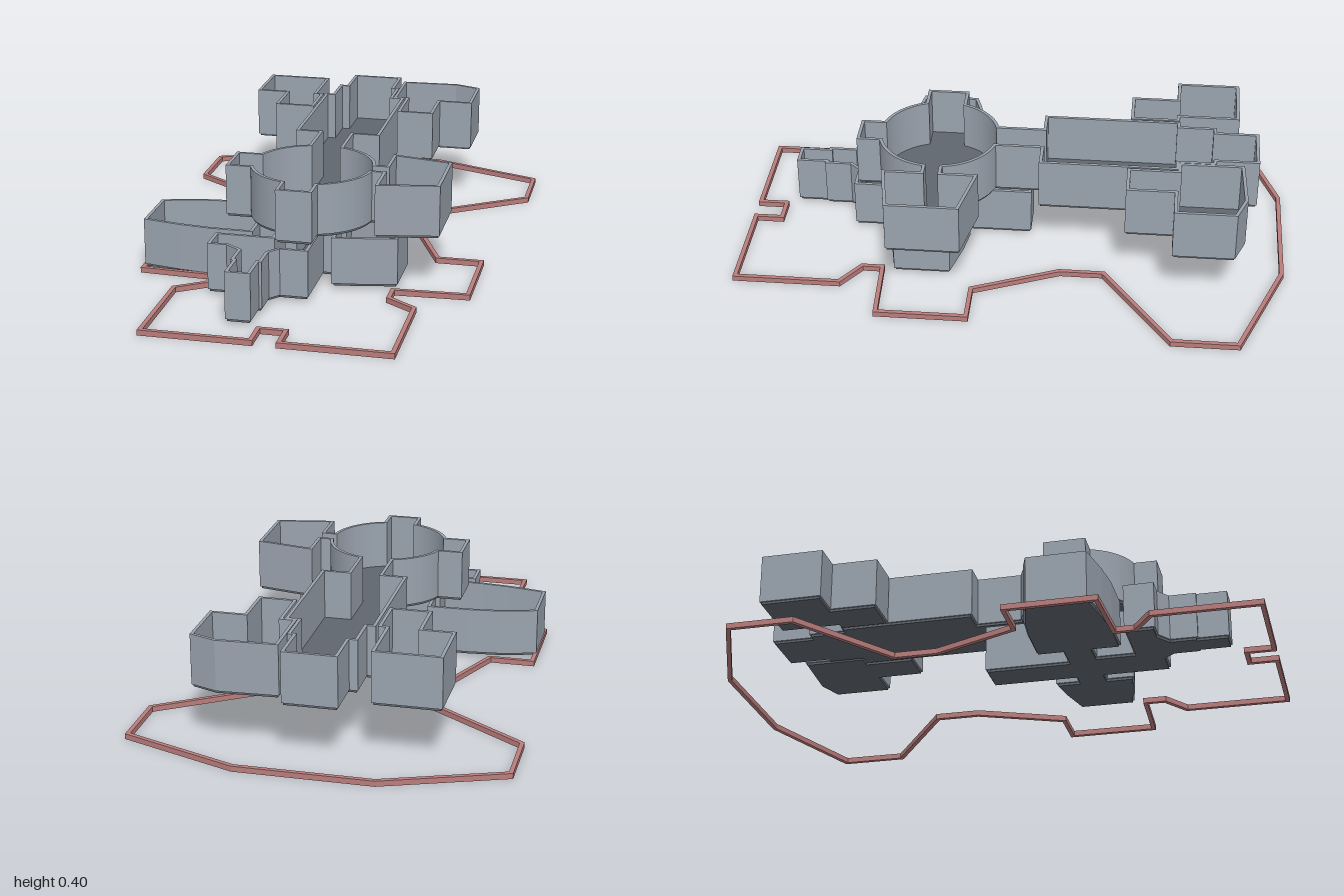
import * as THREE from 'three';

const wallMat = new THREE.MeshStandardMaterial({ color: 0x9aa3ae });
wallMat.name = 'wall grey';
const floorMat = new THREE.MeshStandardMaterial({ color: 0x5f666e });
floorMat.name = 'floor grey';
const borderMat = new THREE.MeshStandardMaterial({ color: 0xba7d7d });
borderMat.name = 'border pink';

// Plan points are [x, z]; returns a counter-clockwise outline for extrusion
function outline(points) {
  const pts = points.map(([x, z]) => new THREE.Vector2(x, -z));
  return THREE.ShapeUtils.area(pts) < 0 ? pts.reverse() : pts;
}

// Moves every edge inward by t, with mitred corners
function inset(pts, t) {
  const n = pts.length;
  return pts.map((p, i) => {
    const a = p.clone().sub(pts[(i + n - 1) % n]).normalize();
    const b = pts[(i + 1) % n].clone().sub(p).normalize();
    const na = new THREE.Vector2(-a.y, a.x);
    const nb = new THREE.Vector2(-b.y, b.x);
    const k = t / Math.max(0.3, 1 + na.dot(nb));
    return p.clone().add(na.add(nb).multiplyScalar(k));
  });
}

function extrude(shape, y, height, material, name) {
  const geo = new THREE.ExtrudeGeometry(shape, { depth: height, bevelEnabled: false });
  geo.rotateX(-Math.PI / 2);
  geo.translate(0, y, 0);
  const mesh = new THREE.Mesh(geo, material);
  mesh.name = name;
  return mesh;
}

// Upright band following an outline
function band(points, t, y, height, material, name) {
  const pts = outline(points);
  const shape = new THREE.Shape(pts);
  shape.holes.push(new THREE.Path(inset(pts, t).reverse()));
  return extrude(shape, y, height, material, name);
}

// Open-topped room: wall band over a slightly inset floor slab
function room(points, y, top, name) {
  const group = new THREE.Group();
  group.name = name;
  const slab = 0.009;
  group.add(band(points, 0.012, y + slab, top - y - slab, wallMat, name + 'Walls'));
  const floor = new THREE.Shape(inset(outline(points), 0.006));
  group.add(extrude(floor, y, slab + 0.002, floorMat, name + 'Floor'));
  return group;
}

// Arc of the round hall
function arc(a0, a1, steps) {
  return Array.from({ length: steps + 1 }, (_, i) => {
    const a = a0 + ((a1 - a0) * i) / steps;
    return [0.224 * Math.cos(a), 0.285 + 0.224 * Math.sin(a)];
  });
}

export function createModel() {
  const model = new THREE.Group();
  model.name = 'floorPlan';

  // Ground border, mirrored from its left half
  const half = [
    [0.245, -1], [0.675, -0.84], [0.675, -0.595], [0.305, -0.34], [0.305, -0.185],
    [0.435, 0.12], [0.6, 0.12], [0.6, 0.46], [0.335, 0.472], [0.335, 0.535],
    [0.437, 0.605], [0.437, 1], [0.04, 1], [0.04, 0.9],
  ];
  const mirrored = half.map(([x, z]) => [-x, z]).reverse();
  model.add(band([...half, ...mirrored], 0.016, 0, 0.02, borderMat, 'groundBorder'));

  // Upper storey: long hall, round hall, side chamber and alcove
  const PI = Math.PI;
  const hall = [
    [-0.095, -0.89], [0.1, -0.89], [0.1, -0.735], [0.12, -0.735], [0.12, -0.6],
    [0.165, -0.6], [0.165, -0.095], [0.065, -0.095],
    ...arc(-1.276, -0.165, 16),
    [0.26, 0.248], [0.26, 0.115], [0.482, 0.16], [0.482, 0.425], [0.26, 0.465], [0.26, 0.322],
    ...arc(0.165, 1.276, 16),
    [0.065, 0.585], [-0.065, 0.585],
    ...arc(PI - 1.276, PI - 0.355, 14),
    [-0.302, 0.363], [-0.302, 0.207],
    ...arc(PI + 0.355, PI + 1.276, 14),
    [-0.065, -0.095], [-0.155, -0.095], [-0.155, -0.6], [-0.125, -0.6],
    [-0.125, -0.735], [-0.095, -0.735],
  ];
  model.add(room(hall, 0.207, 0.4, 'upperHall'));
  model.add(room([
    [-0.432, -0.82], [-0.19, -0.82], [-0.19, -0.598], [-0.162, -0.598],
    [-0.162, -0.415], [-0.315, -0.415], [-0.315, -0.587], [-0.432, -0.587],
  ], 0.207, 0.4, 'upperRightRoom'));
  model.add(room([
    [0.122, -0.835], [0.34, -0.845], [0.438, -0.808], [0.438, -0.587], [0.312, -0.587],
    [0.312, -0.415], [0.172, -0.415], [0.172, -0.598], [0.122, -0.598],
  ], 0.207, 0.4, 'upperLeftRoom'));

  // Lower storey: rounded wing, crossing corridors, small wing and front room
  model.add(room([
    [-0.595, 0.207], [-0.53, 0.185], [-0.455, 0.168], [-0.34, 0.157], [-0.18, 0.155],
    [-0.18, 0.25], [-0.08, 0.25], [-0.08, -0.06], [0.055, -0.06], [0.055, 0.25],
    [0.105, 0.25], [0.105, 0.165], [0.2, 0.18], [0.335, 0.215], [0.335, 0.42],
    [0.2, 0.447], [0.105, 0.46], [0.105, 0.36], [0.055, 0.36], [0.055, 0.605],
    [-0.045, 0.605], [-0.075, 0.64], [-0.075, 0.738], [-0.085, 0.738], [-0.085, 0.848],
    [-0.175, 0.848], [-0.175, 0.738], [-0.185, 0.738], [-0.185, 0.64], [-0.235, 0.605],
    [-0.305, 0.605], [-0.305, 0.495], [-0.1, 0.495], [-0.1, 0.36], [-0.18, 0.36],
    [-0.18, 0.462], [-0.34, 0.46], [-0.455, 0.447], [-0.595, 0.42],
  ], 0.011, 0.192, 'lowerRooms'));

  return model;
}
